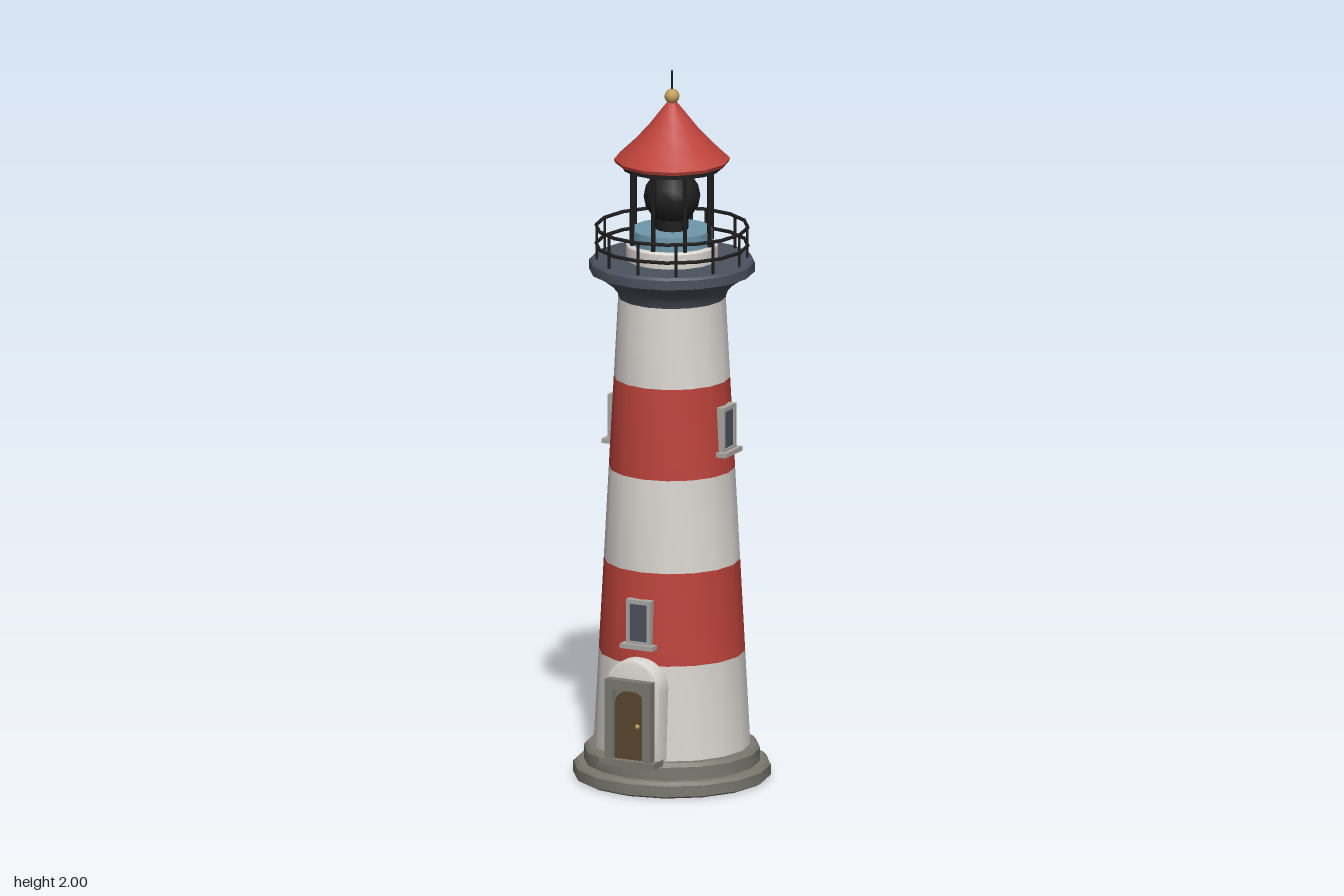
import * as THREE from 'three';
import { toCreasedNormals } from 'three/addons/utils/BufferGeometryUtils.js';

const mat = (name, color) => new THREE.MeshStandardMaterial({ name, color, side: THREE.DoubleSide });

export function createModel() {
  const white = mat('white plaster', 0xdad6d1);
  const red = mat('red paint', 0xbd433b);
  const stone = mat('grey stone', 0x7b796f);
  const slate = mat('dark slate', 0x4b515e);
  const black = mat('black iron', 0x1e1e1f);
  const brown = mat('brown wood', 0x594630);
  const gold = mat('brass', 0xc09c58);
  const blue = mat('pale blue', 0x6f98ab);
  const trim = mat('light grey trim', 0xaaa8a2);

  const model = new THREE.Group();
  model.name = 'lighthouse';
  const body = new THREE.Group();
  body.name = 'body';
  body.position.z = -0.003;
  model.add(body);

  const add = (name, geo, material, x = 0, y = 0, z = 0, parent = body) => {
    const mesh = new THREE.Mesh(geo, material);
    mesh.name = name;
    mesh.position.set(x, y, z);
    parent.add(mesh);
    return mesh;
  };
  // Round part from [radius, height] pairs, listed bottom to top
  const turn = (name, points, material, sides = 16) => {
    const geo = new THREE.LatheGeometry(points.map(p => new THREE.Vector2(...p)), sides);
    return add(name, toCreasedNormals(geo, 0.6), material);
  };
  const box = (name, w, h, d, material, x, y, z, parent) =>
    add(name, new THREE.BoxGeometry(w, h, d), material, x, y, z, parent);

  // Stepped plinth, open underneath
  turn('plinth', [[0.262, 0], [0.272, 0.006], [0.272, 0.036], [0.262, 0.046], [0.243, 0.046],
    [0.243, 0.082], [0.234, 0.093], [0.212, 0.093]], stone);

  // Tapering tower in five bands
  const levels = [0.09, 0.358, 0.617, 0.877, 1.132, 1.37];
  const radius = y => 0.216 - (y - 0.09) * 0.0535;
  for (let i = 0; i < 5; i++) {
    const [a, b] = [levels[i], levels[i + 1]];
    turn('towerBand' + (i + 1), [[radius(a), a], [radius(b), b]], i % 2 ? red : white);
  }

  // Flared gallery and deck
  turn('gallery', [[0.147, 1.355], [0.153, 1.375], [0.17, 1.396], [0.195, 1.415], [0.213, 1.427],
    [0.228, 1.432], [0.228, 1.458], [0.222, 1.465], [0.1, 1.465]], slate);

  // Railing
  for (const y of [1.505, 1.556]) {
    const rail = add('rail', new THREE.TorusGeometry(0.209, 0.005, 6, 16), black, 0, y, 0);
    rail.rotation.x = Math.PI / 2;
  }
  for (let i = 0; i < 12; i++) {
    const a = i * Math.PI / 6;
    add('railingPost', new THREE.CylinderGeometry(0.004, 0.004, 0.094, 6), black,
      Math.sin(a) * 0.207, 1.511, Math.cos(a) * 0.207);
  }

  // Lantern room
  turn('lanternBase', [[0.127, 1.463], [0.127, 1.505], [0.122, 1.51], [0.09, 1.51]], white);
  turn('lanternCurb', [[0.112, 1.508], [0.112, 1.55], [0, 1.55]], blue);
  for (let i = 0; i < 8; i++) {
    const a = i * Math.PI / 4;
    add('lanternPost', new THREE.CylinderGeometry(0.006, 0.006, 0.225, 6), black,
      Math.sin(a) * 0.115, 1.622, Math.cos(a) * 0.115);
  }
  turn('lampStand', [[0.045, 1.55], [0.045, 1.585]], black, 12);
  add('lamp', new THREE.SphereGeometry(0.078, 12, 8), black, 0, 1.643, 0);
  turn('lanternTopRing', [[0.1, 1.722], [0.137, 1.722], [0.137, 1.738], [0.1, 1.738]], black);

  // Roof and finial
  turn('roof', [[0, 1.738], [0.156, 1.738], [0.16, 1.748], [0.115, 1.79], [0.072, 1.835],
    [0.038, 1.878], [0.014, 1.908], [0, 1.912]], red, 12);
  add('finialBall', new THREE.SphereGeometry(0.021, 10, 8), gold, 0, 1.925, 0);
  add('finialRod', new THREE.CylinderGeometry(0.002, 0.003, 0.065, 6), black, 0, 1.9675, 0);

  // Windows: low at front and back, high at both sides
  const addWindow = (angle, y) => {
    const win = new THREE.Group();
    win.name = 'window';
    const holder = new THREE.Group();
    holder.name = 'windowHolder';
    holder.rotation.y = angle;
    win.position.set(0, y, radius(y) + 0.002);
    holder.add(win);
    body.add(holder);
    for (const s of [-1, 1]) box('frameSide', 0.01, 0.13, 0.036, trim, s * 0.032, 0, -0.008, win);
    for (const s of [-1, 1]) box('frameBar', 0.054, 0.012, 0.036, trim, 0, s * 0.059, -0.008, win);
    box('pane', 0.056, 0.108, 0.009, slate, 0, 0, 0.0005, win);
    box('sill', 0.1, 0.013, 0.05, trim, 0, -0.066, -0.003, win);
  };
  addWindow(0, 0.477);
  addWindow(Math.PI, 0.477);
  addWindow(Math.PI / 2, 1.003);
  addWindow(-Math.PI / 2, 1.003);

  // Arched porch with a soft front edge
  const arch = new THREE.Shape();
  arch.moveTo(-0.075, 0.09);
  arch.lineTo(0.075, 0.09);
  arch.lineTo(0.075, 0.297);
  arch.absarc(0, 0.297, 0.075, 0, Math.PI, false);
  const porch = new THREE.ExtrudeGeometry(arch, {
    depth: 0.075, bevelEnabled: true, bevelSize: 0.008, bevelThickness: 0.008, bevelSegments: 2, curveSegments: 10,
  });
  add('porch', toCreasedNormals(porch, 0.6), white, 0, 0, 0.162);

  // Door with frame, threshold and knob
  for (const s of [-1, 1]) box('doorFrameSide', 0.024, 0.23, 0.032, stone, s * 0.058, 0.21, 0.256);
  box('doorFrameTop', 0.14, 0.028, 0.032, stone, 0, 0.313, 0.256);
  box('doorBacking', 0.094, 0.21, 0.008, stone, 0, 0.2, 0.248);
  const leaf = new THREE.Shape();
  leaf.moveTo(-0.043, 0.1);
  leaf.lineTo(0.043, 0.1);
  leaf.lineTo(0.043, 0.262);
  leaf.absellipse(0, 0.262, 0.043, 0.034, 0, Math.PI, false);
  add('door', new THREE.ExtrudeGeometry(leaf, { depth: 0.008, bevelEnabled: false }), brown, 0, 0, 0.252);
  box('threshold', 0.168, 0.018, 0.06, stone, 0, 0.094, 0.248);
  add('doorKnob', new THREE.SphereGeometry(0.007, 8, 6), gold, 0.028, 0.2, 0.266);

  return model;
}
